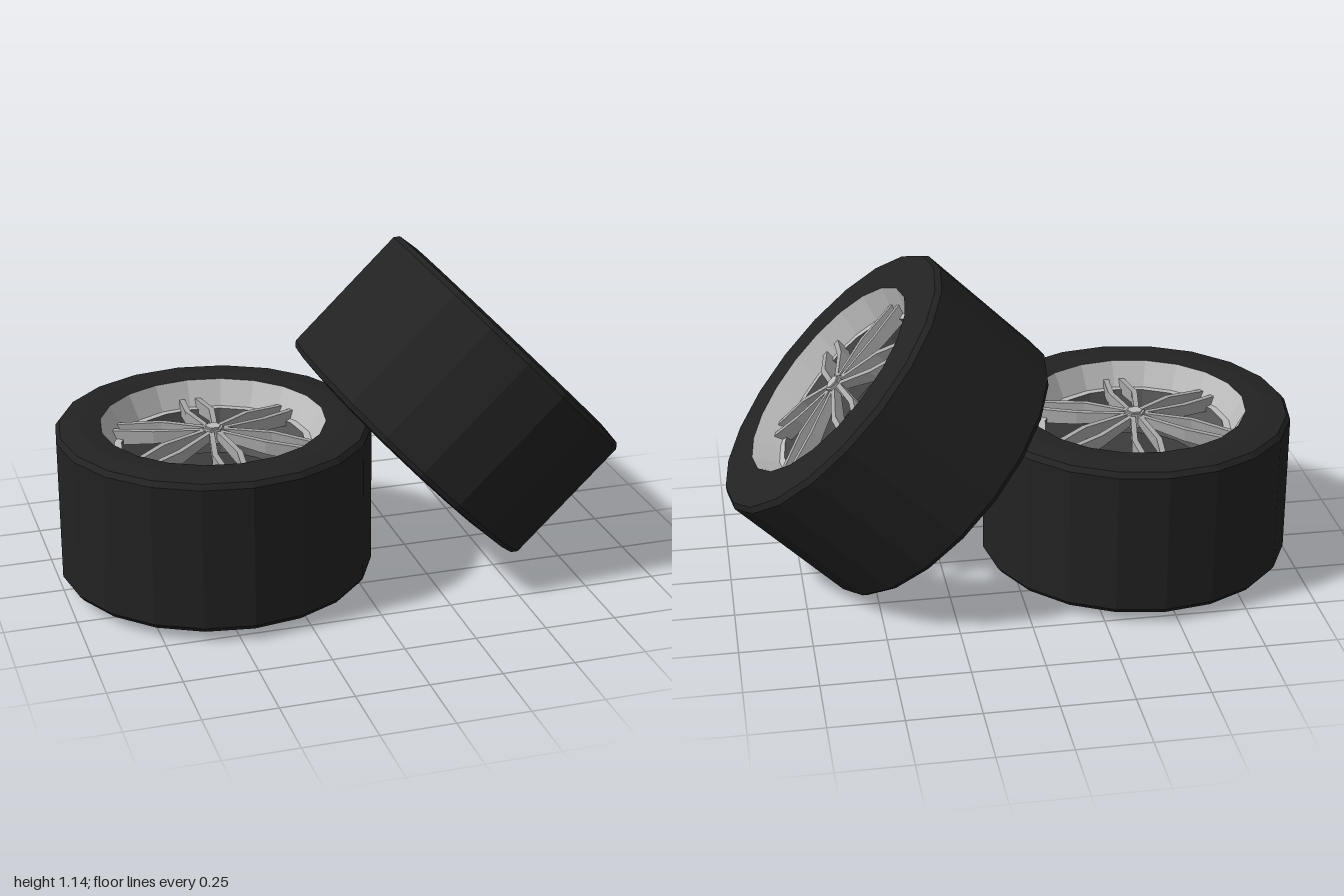
import * as THREE from 'three';

const material = (name, color) => {
  const m = new THREE.MeshStandardMaterial({ color });
  m.name = name;
  return m;
};

// Faceted normals for the low-poly look
function flat(geometry) {
  const g = geometry.index ? geometry.toNonIndexed() : geometry;
  g.computeVertexNormals();
  return g;
}

function part(name, geometry, mat) {
  const mesh = new THREE.Mesh(flat(geometry), mat);
  mesh.name = name;
  return mesh;
}

const lathe = (points) =>
  new THREE.LatheGeometry(points.map(([r, y]) => new THREE.Vector2(r, y)), 20);

// Bent spoke: a box in two lengths, moved onto three stations running out along z
const STATIONS = [
  { r: 0.025, offset: 0.012, top: 0.24, depth: 0.03, width: 0.018 },
  { r: 0.2, offset: 0.043, top: 0.23, depth: 0.045, width: 0.02 },
  { r: 0.365, offset: 0.028, top: 0.212, depth: 0.055, width: 0.02 },
];

function spokeGeometry(side) {
  const g = new THREE.BoxGeometry(1, 1, 1, 1, 1, 2);
  const p = g.attributes.position;
  for (let i = 0; i < p.count; i++) {
    const s = STATIONS[Math.round((p.getZ(i) + 0.5) * 2)];
    p.setXYZ(i,
      side * s.offset + p.getX(i) * s.width,
      s.top + (p.getY(i) - 0.5) * s.depth,
      s.r);
  }
  return g;
}

export function createModel() {
  const rubber = material('black rubber', 0x222222);
  const rimMetal = material('light rim metal', 0xbdbdbd);
  const spokeMetal = material('spoke metal', 0xa8a8a8);
  const barrelMetal = material('dark barrel metal', 0x626262);
  const discMetal = material('dark disc metal', 0x3c3c3c);

  // One side of the wheel: sloped lip, ledge ring, six spoke pairs and hub
  function wheelFace(name) {
    const face = new THREE.Group();
    face.name = name;
    face.add(part('rimLip', lathe([[0.39, 0.272], [0.345, 0.185], [0.32, 0.185]]), rimMetal));
    for (let i = 0; i < 6; i++) {
      for (const side of [-1, 1]) {
        const spoke = part('spoke', spokeGeometry(side), spokeMetal);
        spoke.rotation.y = (i * Math.PI) / 3;
        face.add(spoke);
      }
    }
    const hub = part('hub', new THREE.CylinderGeometry(0.036, 0.042, 0.05, 6), spokeMetal);
    hub.position.y = 0.222;
    hub.rotation.y = Math.PI / 6;
    const cap = part('hubCap', new THREE.CylinderGeometry(0.027, 0.027, 0.006, 6), rimMetal);
    cap.position.y = 0.249;
    cap.rotation.y = Math.PI / 6;
    face.add(hub, cap);
    return face;
  }

  // Complete wheel with its axle along y
  function wheel(name) {
    const group = new THREE.Group();
    group.name = name;
    const half = [[0.547, 0.25], [0.533, 0.268], [0.46, 0.277], [0.39, 0.272]];
    const mirrored = half.map(([r, y]) => [r, -y]).reverse();
    group.add(part('tyre', lathe([...mirrored, ...half]), rubber));
    group.add(part('barrel', lathe([[0.32, 0.185], [0.32, -0.185]]), barrelMetal));
    group.add(part('disc', new THREE.CylinderGeometry(0.235, 0.235, 0.1, 20), discMetal));
    const back = wheelFace('backFace');
    back.rotation.z = Math.PI;
    group.add(wheelFace('frontFace'), back);
    return group;
  }

  const model = new THREE.Group();
  model.name = 'wheelPair';

  const lying = wheel('lyingWheel');
  lying.position.set(-0.453, 0.305, 0);

  const leaning = wheel('leaningWheel');
  leaning.position.set(0.435, 0.571, 0);
  leaning.rotation.z = THREE.MathUtils.degToRad(-46);

  model.add(lying, leaning);
  return model;
}
